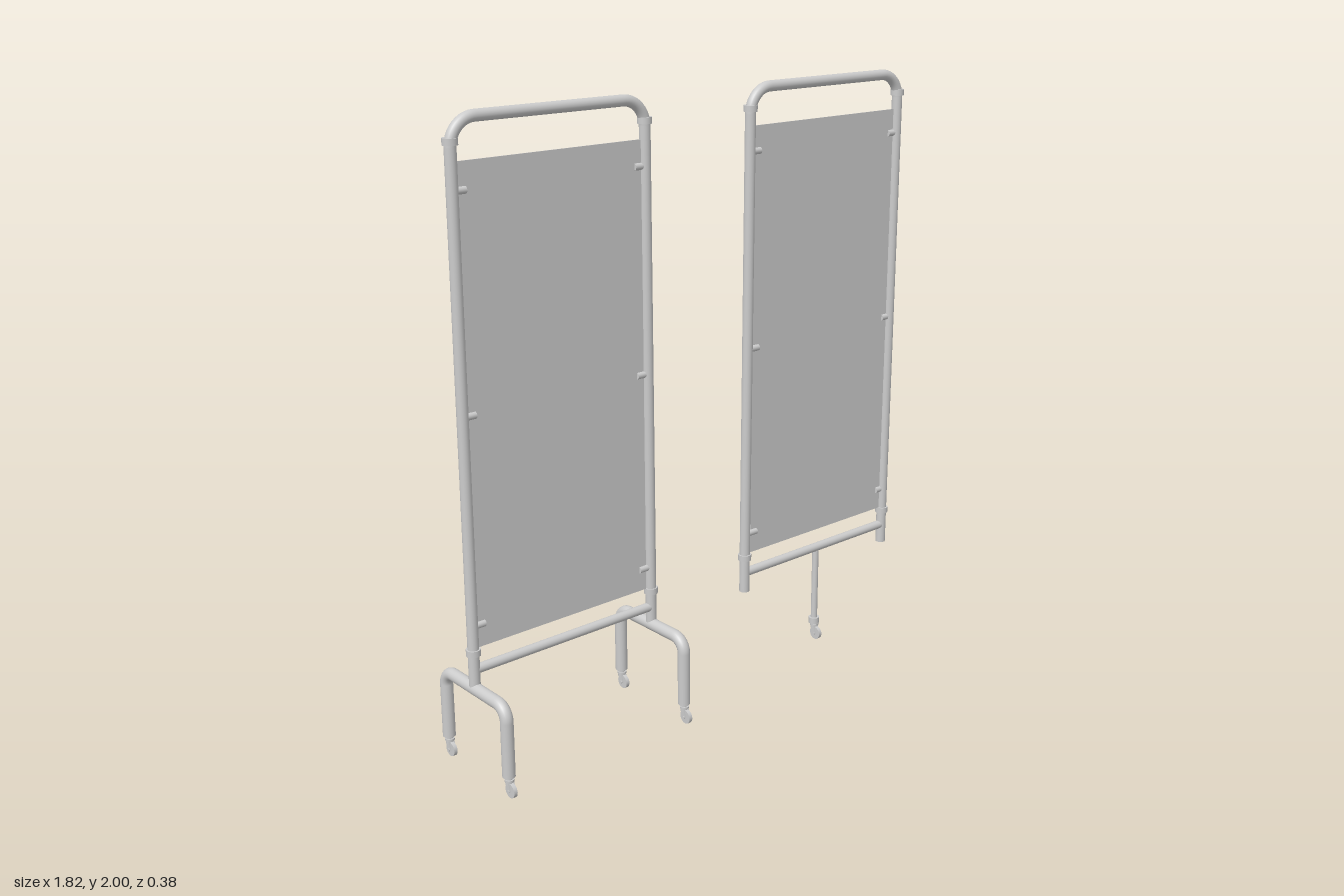
import * as THREE from 'three';
import { mergeGeometries } from 'three/addons/utils/BufferGeometryUtils.js';

const grey = new THREE.MeshStandardMaterial({ color: 0xcccccc });
const V = (x, y, z) => new THREE.Vector3(x, y, z);
const Z = -0.005; // plane of the screens

// Straight capped rod between two points
function rod(a, b, r, sides = 20) {
  const dir = b.clone().sub(a);
  const g = new THREE.CylinderGeometry(r, r, dir.length(), sides);
  g.applyQuaternion(new THREE.Quaternion().setFromUnitVectors(V(0, 1, 0), dir.normalize()));
  const mid = a.clone().add(b).multiplyScalar(0.5);
  return g.translate(mid.x, mid.y, mid.z);
}

// Bent pipe through corner points, each inner corner rounded with a bend radius
function bentPipe(points, r, bend) {
  const parts = [];
  let start = points[0];
  for (let i = 1; i < points.length - 1; i++) {
    const p = points[i];
    const toPrev = points[i - 1].clone().sub(p).normalize();
    const toNext = points[i + 1].clone().sub(p).normalize();
    const at = (dir, d) => p.clone().addScaledVector(dir, d);
    const end = at(toPrev, bend), next = at(toNext, bend);
    parts.push(rod(start, end, r));
    const curve = new THREE.CubicBezierCurve3(end, at(toPrev, bend * 0.448), at(toNext, bend * 0.448), next);
    parts.push(new THREE.TubeGeometry(curve, 12, r, 20));
    start = next;
  }
  parts.push(rod(start, points[points.length - 1], r));
  return mergeGeometries(parts);
}

function add(group, name, geometry) {
  const mesh = new THREE.Mesh(geometry, grey);
  mesh.name = name;
  group.add(mesh);
  return mesh;
}

// Swivel caster hanging below (x, z), its wheel trailing slightly to the front
function caster(x, z) {
  const g = new THREE.Group();
  g.name = 'caster';
  const wz = 0.011;
  add(g, 'casterStem', rod(V(0, 0.04, 0), V(0, 0.075, 0), 0.012, 16));
  add(g, 'casterCollar', rod(V(0, 0.051, 0.002), V(0, 0.058, 0.002), 0.015, 16));
  add(g, 'wheel', rod(V(-0.006, 0.023, wz), V(0.006, 0.023, wz), 0.023, 24));
  add(g, 'axle', rod(V(-0.013, 0.023, wz), V(0.013, 0.023, wz), 0.005, 10));
  for (const s of [-1, 1]) {
    const plate = new THREE.BoxGeometry(0.003, 0.036, 0.016);
    plate.rotateX(-0.3).translate(s * 0.009, 0.037, 0.006);
    add(g, 'forkPlate', plate);
  }
  g.position.set(x, 0, z);
  return g;
}

// Screen with hoop frame, fabric, clips and lower rail
function screen(name, xl, xr, footL, footR) {
  const g = new THREE.Group();
  g.name = name;
  add(g, 'hoopFrame', bentPipe(
    [V(footL, 0.285, Z), V(xl, 1.983, Z), V(xr, 1.983, Z), V(footR, 0.285, Z)], 0.0175, 0.08));
  add(g, 'lowerRail', rod(V(footL, 0.352, Z), V(footR, 0.352, Z), 0.015));
  const fabric = new THREE.BoxGeometry(xr - xl - 0.03, 1.445, 0.003);
  add(g, 'fabric', fabric.translate((xl + xr) / 2, 1.1425, Z));
  for (const [x, foot, inward] of [[xl, footL, 1], [xr, footR, -1]]) {
    for (const y of [0.41, 1.92]) {
      const cx = THREE.MathUtils.lerp(foot, x, (y - 0.285) / 1.7);
      add(g, 'collar', rod(V(cx, y - 0.01, Z), V(cx, y + 0.01, Z), 0.0225));
    }
    for (const y of [0.492, 1.14, 1.785]) {
      add(g, 'fabricClip', rod(V(x, y, Z), V(x + inward * 0.042, y, Z), 0.011, 14));
    }
  }
  return g;
}

export function createModel() {
  const model = new THREE.Group();
  model.name = 'foldingScreens';

  // Screen standing on two bridge-shaped feet
  const first = screen('footedScreen', -0.889, -0.215, -0.891, -0.209);
  for (const x of [-0.891, -0.209]) {
    const front = 0.158, back = -0.166;
    add(first, 'bridgeFoot', bentPipe(
      [V(x, 0.066, front), V(x, 0.29, front), V(x, 0.29, back), V(x, 0.066, back)], 0.02, 0.045));
    first.add(caster(x, front), caster(x, back));
  }

  // Screen with a single central leg
  const second = screen('singleLegScreen', 0.212, 0.889, 0.203, 0.885);
  const cx = 0.546;
  add(second, 'centreLeg', rod(V(cx, 0.07, Z), V(cx, 0.352, Z), 0.0115));
  add(second, 'legSocket', rod(V(cx, 0.06, Z), V(cx, 0.082, Z), 0.019));
  second.add(caster(cx, Z));

  model.add(first, second);
  return model;
}
